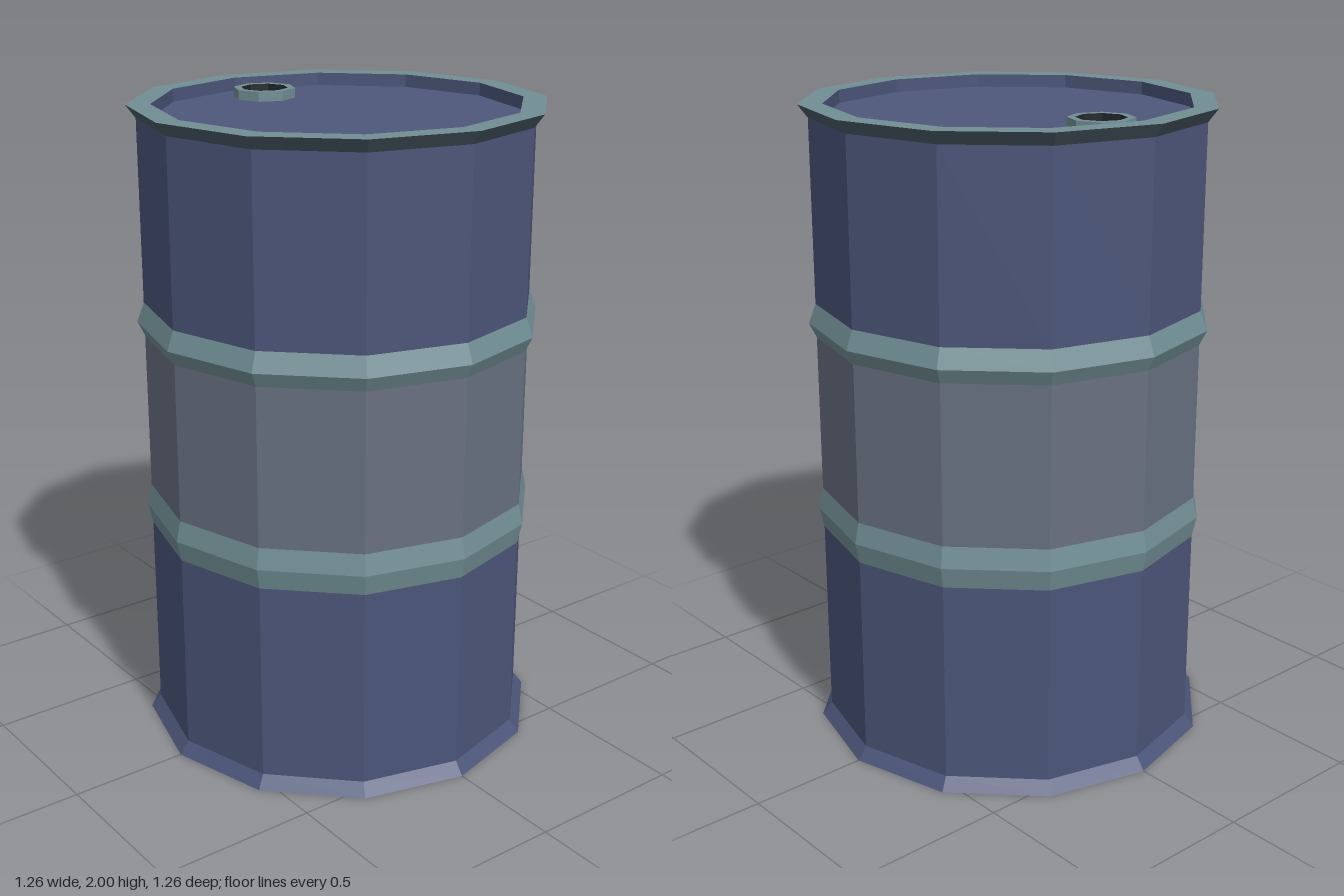
import * as THREE from 'three';

const NAVY = 0x4b5579, GREY = 0x687080, TEAL = 0x708e94, BLACK = 0x222628;

// Faceted ring turned from [radius, height] points, listed upward on outer walls
function ring(name, color, sides, points) {
  const profile = points.map(([r, y]) => new THREE.Vector2(r, y));
  const mesh = new THREE.Mesh(
    new THREE.LatheGeometry(profile, sides),
    new THREE.MeshStandardMaterial({ color, flatShading: true })
  );
  mesh.name = name;
  return mesh;
}

export function createModel() {
  const barrel = new THREE.Group();
  barrel.name = 'barrel';

  // Twelve-sided shell, from the underside up to the lid
  const parts = [
    ['underside', 0x343847, [[0, 0.04], [0.565, 0.04]]],
    ['bottomRim', NAVY, [[0.565, 0.04], [0.585, 0], [0.63, 0], [0.6, 0.04]]],
    ['lowerWall', NAVY, [[0.6, 0.04], [0.6, 0.67]]],
    ['lowerRib', TEAL, [[0.6, 0.67], [0.614, 0.735], [0.6, 0.8]]],
    ['middleWall', GREY, [[0.6, 0.8], [0.6, 1.295]]],
    ['upperRib', TEAL, [[0.6, 1.295], [0.622, 1.34], [0.6, 1.4]]],
    ['upperWall', NAVY, [[0.6, 1.4], [0.6, 1.96]]],
    ['topRimEdge', 0x4a5a66, [[0.6, 1.96], [0.63, 2]]],
    ['topRim', TEAL, [[0.63, 2], [0.557, 2]]],
    ['rimInnerWall', NAVY, [[0.557, 2], [0.557, 1.96]]],
    ['lid', 0x4e587a, [[0.557, 1.96], [0, 1.96]]],
  ];
  for (const [name, color, points] of parts) barrel.add(ring(name, color, 12, points));

  // Eight-sided filler opening near the back of the lid
  const filler = new THREE.Group();
  filler.name = 'fillerOpening';
  filler.add(
    ring('fillerCollar', TEAL, 8, [[0.098, 1.96], [0.098, 1.99], [0.074, 1.99]]),
    ring('fillerHole', BLACK, 8, [[0.074, 1.99], [0.074, 1.965], [0, 1.965]])
  );
  filler.position.z = -0.39;
  barrel.add(filler);

  return barrel;
}
